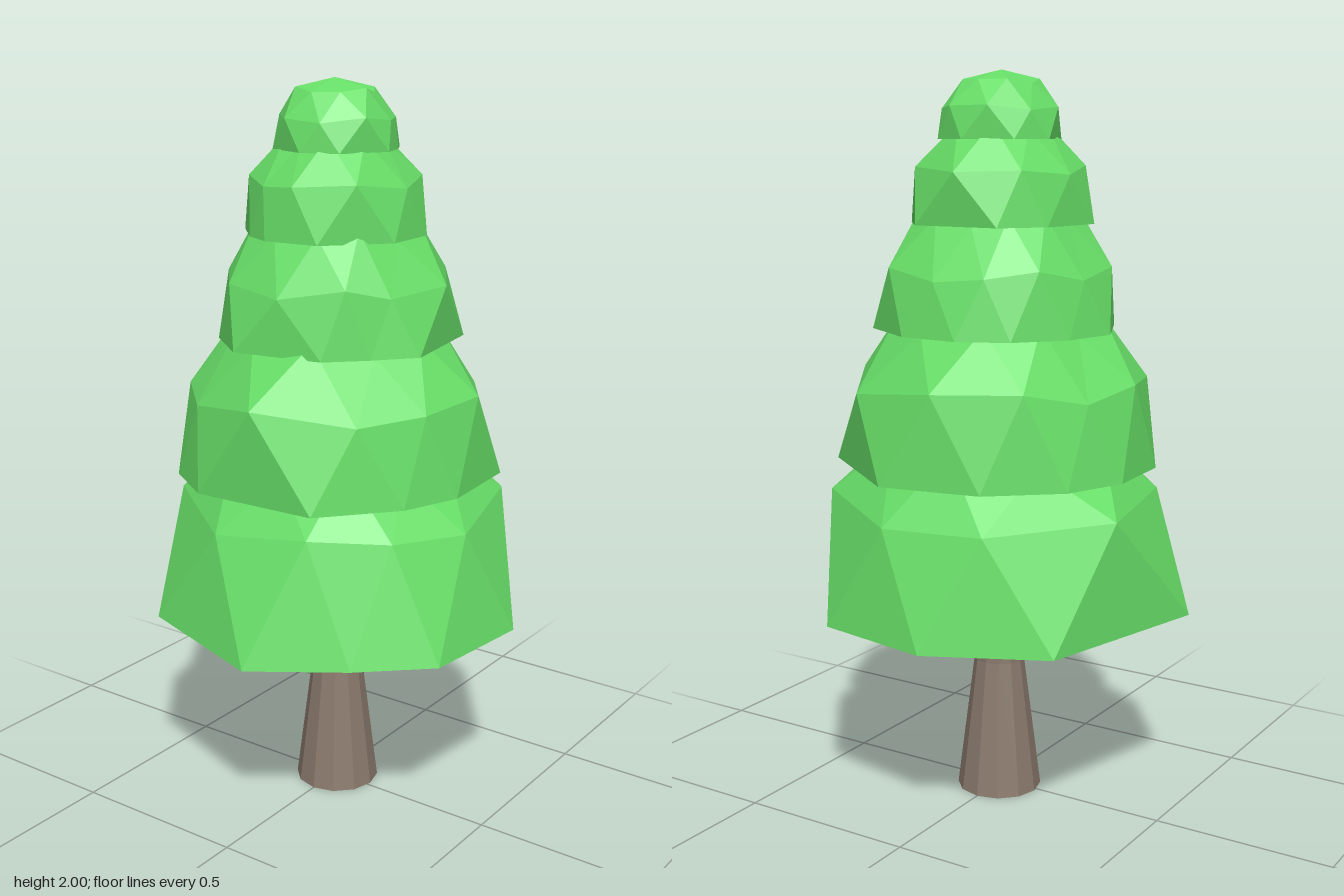
import * as THREE from 'three';

// Each tier: rim outline as [x, z] corners, and rings as [scale, y, z shift] from rim to crown
const TIERS = [
  {
    rim: [[-0.08, -0.525], [0.255, -0.465], [0.515, -0.115], [0.48, 0.21], [0.31, 0.365],
      [0.08, 0.52], [-0.33, 0.38], [-0.515, 0.14], [-0.39, -0.375]],
    rings: [[1, 0.55, 0], [0.84, 0.86, -0.025], [0.58, 1.01, -0.02]], apex: 1.1,
  },
  {
    rim: [[-0.19, -0.405], [0.085, -0.455], [0.4, -0.22], [0.42, 0.04], [0.36, 0.2], [0.2, 0.385],
      [-0.155, 0.4], [-0.31, 0.3], [-0.41, 0.13], [-0.425, -0.09], [-0.36, -0.26]],
    rings: [[1, 0.95, 0], [0.92, 1.18, 0], [0.64, 1.34, 0]], apex: 1.46,
  },
  {
    rim: [[-0.07, -0.335], [0.1, -0.325], [0.275, -0.215], [0.325, 0.08], [0.24, 0.18], [0.15, 0.27],
      [-0.1, 0.31], [-0.24, 0.2], [-0.335, 0], [-0.3, -0.15], [-0.2, -0.275]],
    rings: [[1, 1.32, 0], [0.92, 1.48, 0], [0.64, 1.62, 0]], apex: 1.72,
  },
  {
    rim: [[-0.13, -0.23], [0.125, -0.225], [0.225, -0.1], [0.23, 0.06], [0.095, 0.21], [-0.06, 0.225],
      [-0.14, 0.185], [-0.24, 0.08], [-0.215, -0.12]],
    rings: [[1, 1.6, 0], [0.91, 1.74, 0], [0.53, 1.85, 0]], apex: 1.89,
  },
  {
    rim: [[0.01, -0.18], [0.11, -0.14], [0.145, -0.08], [0.17, 0], [0.1, 0.12], [0, 0.155],
      [-0.12, 0.11], [-0.165, -0.03], [-0.12, -0.13]],
    rings: [[1, 1.82, 0], [0.93, 1.9, 0], [0.62, 1.97, 0]], apex: 2,
  },
];

// Turns an outline half a step, keeping its radius
function halfStep(points) {
  return points.map(([x, z], i) => {
    const [x2, z2] = points[(i + 1) % points.length];
    const r = (Math.hypot(x, z) + Math.hypot(x2, z2)) / 2;
    const k = r / Math.hypot(x + x2, z + z2);
    return [(x + x2) * k, (z + z2) * k];
  });
}

// Faceted open dome: staggered rings joined by triangles, closed at the crown
function tierGeometry({ rim, rings, apex }) {
  const n = rim.length;
  const rise = apex - rings[0][1];
  const positions = [];
  const index = [];
  let outline = rim;
  rings.forEach(([scale, y, shift], k) => {
    if (k > 0) outline = halfStep(outline);
    outline.forEach(([x, z], i) => {
      // slight unevenness above the level rim
      const wobble = k === 0 ? 0 : Math.sin(i * 2.4 + k * 1.7 + apex * 9);
      const s = scale * (1 + 0.02 * wobble);
      positions.push(x * s, y + 0.04 * rise * wobble, z * s + shift);
    });
  });
  positions.push(0, apex, 0);
  const top = rings.length * n;
  for (let k = 0; k < rings.length; k++) {
    for (let i = 0; i < n; i++) {
      const a = k * n + i;
      const b = k * n + ((i + 1) % n);
      if (k === rings.length - 1) index.push(a, top, b);
      else index.push(a, a + n, b, b, a + n, b + n);
    }
  }
  const geometry = new THREE.BufferGeometry();
  geometry.setAttribute('position', new THREE.Float32BufferAttribute(positions, 3));
  geometry.setIndex(index);
  const flat = geometry.toNonIndexed();
  flat.computeVertexNormals();
  return flat;
}

export function createModel() {
  const tree = new THREE.Group();
  tree.name = 'tree';

  const leafMaterial = new THREE.MeshStandardMaterial({
    color: 0x67de67, flatShading: true, side: THREE.DoubleSide,
  });
  const barkMaterial = new THREE.MeshStandardMaterial({
    color: 0x8b7b6e, flatShading: true, side: THREE.DoubleSide,
  });

  // Trunk: flared foot and a thin stem running up inside the foliage
  const profile = [[0.118, 0], [0.07, 0.38], [0.068, 0.6], [0.015, 1.86]];
  const trunk = new THREE.Mesh(
    new THREE.LatheGeometry(profile.map(([r, y]) => new THREE.Vector2(r, y)), 12),
    barkMaterial,
  );
  trunk.name = 'trunk';
  trunk.position.z = -0.012;
  tree.add(trunk);

  // Foliage tiers, from the lowest skirt to the crown
  const foliage = new THREE.Group();
  foliage.name = 'foliage';
  TIERS.forEach((tier, i) => {
    const mesh = new THREE.Mesh(tierGeometry(tier), leafMaterial);
    mesh.name = `foliageTier${i + 1}`;
    foliage.add(mesh);
  });
  tree.add(foliage);

  return tree;
}
